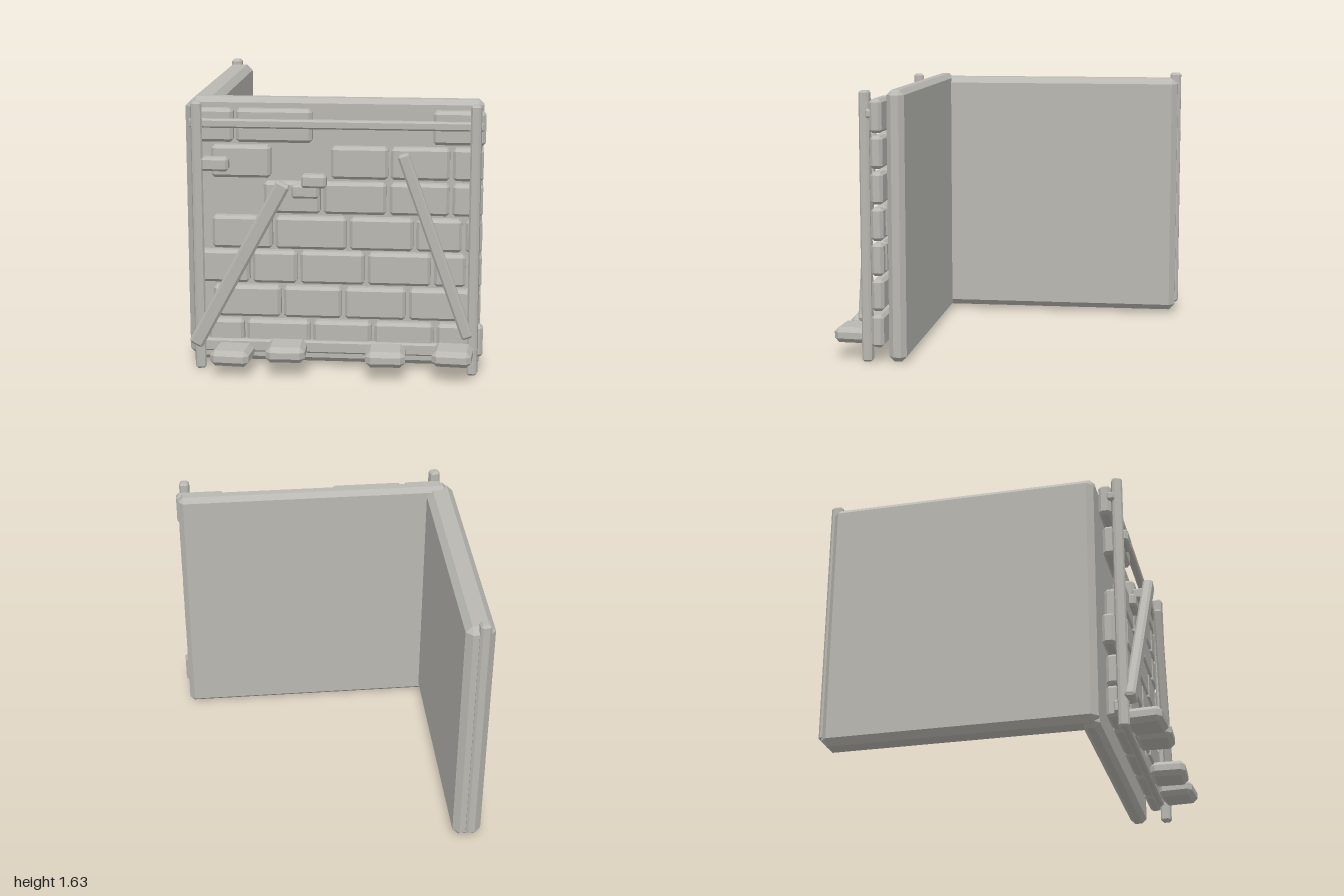
import * as THREE from 'three';
import { ConvexGeometry } from 'three/addons/geometries/ConvexGeometry.js';

// Box with all edges cut at 45 degrees
function chamferBox(w, h, d, b) {
  const pts = [];
  for (const x of [-1, 1]) for (const y of [-1, 1]) for (const z of [-1, 1]) {
    const [X, Y, Z] = [w / 2, h / 2, d / 2];
    pts.push(
      new THREE.Vector3(x * X, y * (Y - b), z * (Z - b)),
      new THREE.Vector3(x * (X - b), y * Y, z * (Z - b)),
      new THREE.Vector3(x * (X - b), y * (Y - b), z * Z));
  }
  return new ConvexGeometry(pts);
}

export function createModel() {
  const model = new THREE.Group();
  model.name = 'ruinedWallCorner';
  const stone = new THREE.MeshStandardMaterial({ color: 0xb9b8b2, flatShading: true });
  stone.name = 'warm grey stone';

  // Chamfered block given by its extents
  const block = (name, x0, x1, y0, y1, z0, z1, bevel, turn = 0, parent = model) => {
    const mesh = new THREE.Mesh(chamferBox(x1 - x0, y1 - y0, z1 - z0, bevel), stone);
    mesh.position.set((x0 + x1) / 2, (y0 + y1) / 2, (z0 + z1) / 2);
    mesh.rotation.y = turn;
    mesh.name = name;
    parent.add(mesh);
    return mesh;
  };

  // Plank running from point a to point b
  const plank = (name, a, b, width, depth, bevel) => {
    const from = new THREE.Vector3(...a), to = new THREE.Vector3(...b);
    const mesh = new THREE.Mesh(chamferBox(width, from.distanceTo(to), depth, bevel), stone);
    const up = to.clone().sub(from).normalize();
    const side = new THREE.Vector3().crossVectors(up, new THREE.Vector3(0, 0, 1)).normalize();
    const front = new THREE.Vector3().crossVectors(side, up);
    mesh.quaternion.setFromRotationMatrix(new THREE.Matrix4().makeBasis(side, up, front));
    mesh.position.copy(from).add(to).multiplyScalar(0.5);
    mesh.name = name;
    model.add(mesh);
  };

  // Wall slabs
  block('frontWall', -0.85, 0.865, 0.01, 1.62, 0.545, 0.65, 0.03);
  block('sideWall', -0.888, -0.715, 0.03, 1.6, -0.98, 0.65, 0.038);

  // Bricks: rows from the bottom up, each with bottom, top and spans in x
  const bricks = new THREE.Group();
  bricks.name = 'bricks';
  model.add(bricks);
  const rows = [
    [0.10, 0.295, [[-0.75, -0.54], [-0.52, -0.145], [-0.125, 0.22], [0.24, 0.59], [0.61, 0.883]]],
    [0.315, 0.505, [[-0.72, -0.317], [-0.3, 0.045], [0.065, 0.425], [0.445, 0.865]]],
    [0.525, 0.72, [[-0.82, -0.502], [-0.483, -0.22], [-0.2, 0.18], [0.2, 0.57], [0.59, 0.775], [0.793, 0.868]]],
    [0.735, 0.93, [[-0.72, -0.364], [-0.345, 0.075], [0.093, 0.465], [0.483, 0.75], [0.77, 0.868]]],
    [0.95, 1.14, [[-0.412, -0.08], [-0.06, 0.307], [0.326, 0.674], [0.69, 0.868]]],
    [1.16, 1.352, [[-0.72, -0.37], [-0.017, 0.317], [0.331, 0.674], [0.69, 0.868]]],
    [1.37, 1.567, [[-0.836, -0.588], [-0.57, -0.126], [0.574, 0.878]]],
  ];
  for (const [y0, y1, spans] of rows) {
    for (const [x0, x1] of spans) block('brick', x0, x1, y0, y1, 0.673, 0.748, 0.018, 0, bricks);
  }

  // Corner posts
  block('rightPost', -0.826, -0.764, 0.005, 1.615, 0.75, 0.812, 0.012, 0.3);
  block('leftPost', 0.792, 0.852, 0.005, 1.615, 0.75, 0.812, 0.012, -0.15);
  block('backPost', -0.857, -0.79, 0.075, 1.635, -1, -0.928, 0.014);

  // Horizontal rails
  block('topRail', -0.845, 0.868, 1.457, 1.51, 0.725, 0.772, 0.01);
  block('bottomRail', -0.8, 0.83, 0.105, 0.18, 0.725, 0.772, 0.01);

  // Leaning braces
  plank('rightBrace', [-0.815, 0.165, 0.825], [-0.275, 1.162, 0.878], 0.088, 0.062, 0.014);
  plank('leftBrace', [0.793, 0.24, 0.815], [0.406, 1.333, 0.835], 0.068, 0.052, 0.012);

  // Loose small bricks
  block('looseBrick', -0.765, -0.607, 1.212, 1.293, 0.755, 0.832, 0.014);
  block('looseBrick', -0.183, -0.036, 1.122, 1.2, 0.755, 0.832, 0.014);
  block('looseBrick', -0.245, -0.083, 1.05, 1.132, 0.73, 0.79, 0.014);

  // Footing stones
  for (const [x, y, turn] of [[-0.59, 0.122, -0.07], [-0.268, 0.153, 0.03], [0.316, 0.14, 0.03], [0.708, 0.153, -0.07]]) {
    block('footingStone', x - 0.115, x + 0.115, y - 0.047, y + 0.047, 0.77, 0.987, 0.028, turn);
  }
  return model;
}
